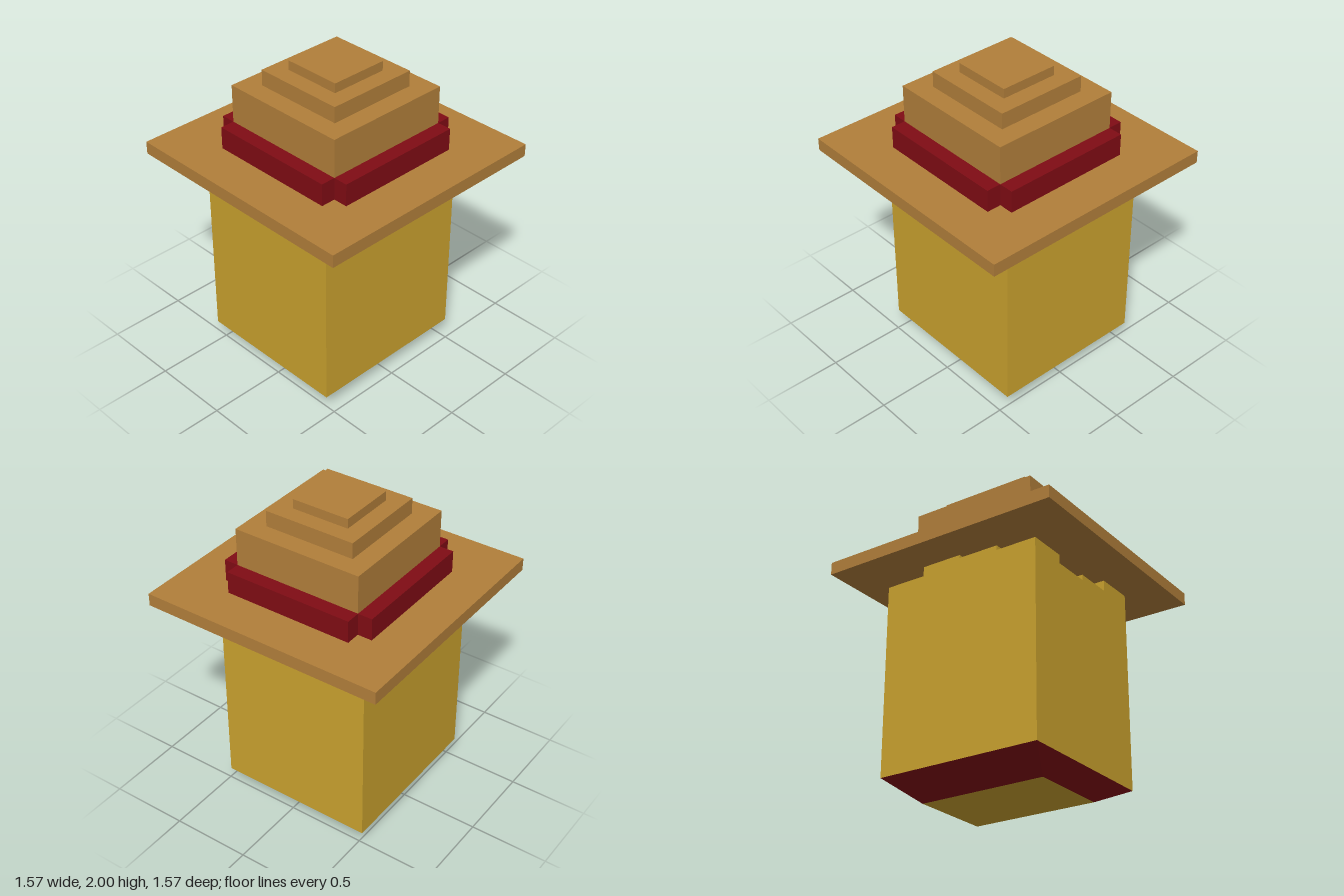
import * as THREE from 'three';

const paint = (color) => new THREE.MeshStandardMaterial({ color, flatShading: true });

export function createModel() {
  const group = new THREE.Group();
  const gold = paint(0xc9a12e), straw = paint(0xb17e3a), red = paint(0x7f0c14);

  // Box given by its minimum and maximum on each axis
  const box = (name, material, [x0, x1], [y0, y1], [z0, z1]) => {
    const mesh = new THREE.Mesh(new THREE.BoxGeometry(x1 - x0, y1 - y0, z1 - z0), material);
    mesh.position.set((x0 + x1) / 2, (y0 + y1) / 2, (z0 + z1) / 2);
    mesh.name = name;
    group.add(mesh);
    return mesh;
  };

  // Head block, slightly off centre in x
  const X = [-0.54, 0.465], Z = [-0.53, 0.53], headTop = 1.27;
  box('head', gold, X, [0.11, headTop], Z);

  // Uneven blocky crown under the hat: rows back to front, columns -x to +x
  const heights = [
    [1.32, 1.35, 1.28, 1.35],
    [1.4, 1.36, 1.4, 1.4],
    [1.36, 1.36, 1.4, 1.335],
    [1.33, 1.275, 1.31, 1.4],
  ];
  const dx = (X[1] - X[0]) / 4, dz = (Z[1] - Z[0]) / 4;
  heights.forEach((row, j) => row.forEach((h, i) => {
    const x = X[0] + i * dx, z = Z[0] + j * dz;
    box('crownBlock', gold, [x, x + dx], [headTop, h], [z, z + dz]);
  }));

  // Tapered jaw: a box with its lower corners pulled inwards, gold underside
  const jaw = box('jaw', [red, red, red, gold, red, red], X, [0, 0.11], Z);
  const p = jaw.geometry.attributes.position;
  for (let i = 0; i < p.count; i++) {
    if (p.getY(i) < 0) {
      p.setX(i, Math.sign(p.getX(i)) * 0.265);
      p.setZ(i, Math.sign(p.getZ(i)) * 0.41);
    }
  }
  jaw.geometry.computeVertexNormals();

  // Hat: brim and stepped crown
  const tier = (name, r, y0, y1) => box(name, straw, [-r, r], [y0, y1], [-r, r]);
  tier('hatBrim', 0.783, 1.38, 1.46);
  tier('hatCrown', 0.418, 1.46, 1.84);
  tier('hatUpperStep', 0.295, 1.84, 1.94);
  tier('hatTop', 0.187, 1.94, 2);

  // Hat band: one strip per side, leaving the corners open
  for (const s of [-1, 1]) {
    const out = s < 0 ? [-0.51, -0.418] : [0.418, 0.51];
    box('hatBand', red, out, [1.46, 1.6], [-0.418, 0.418]);
    box('hatBand', red, [-0.418, 0.418], [1.46, 1.6], out);
  }
  return group;
}
